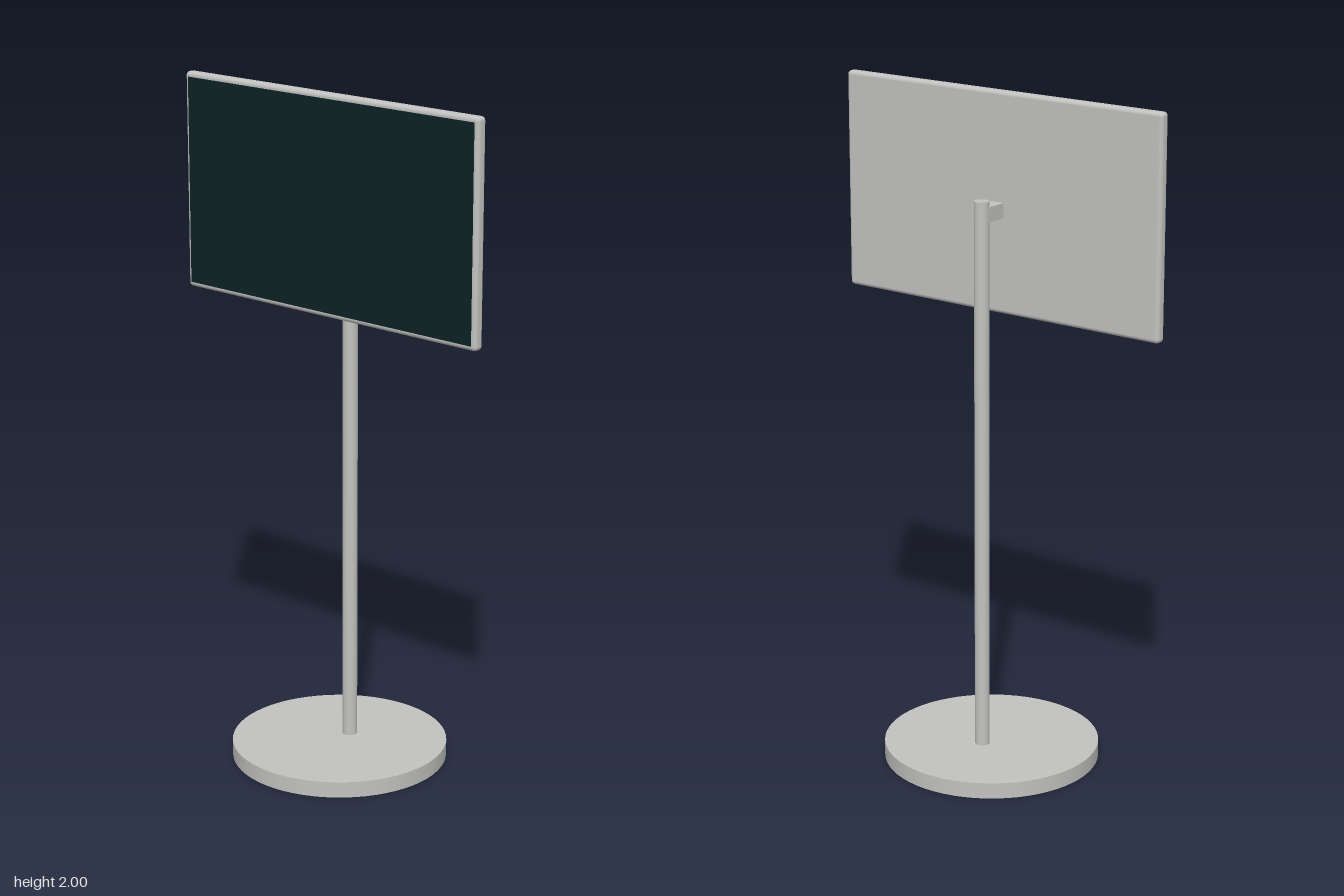
import * as THREE from 'three';
import { RoundedBoxGeometry } from 'three/addons/geometries/RoundedBoxGeometry.js';

export function createModel() {
  const model = new THREE.Group();
  model.name = 'displayOnStand';

  const metal = new THREE.MeshStandardMaterial({ color: 0xc2c2c0 });
  metal.name = 'light grey metal';
  const glass = new THREE.MeshStandardMaterial({ color: 0x0d2326 });
  glass.name = 'dark screen glass';

  const add = (name, geometry, material, x, y, z) => {
    const mesh = new THREE.Mesh(geometry, material);
    mesh.name = name;
    mesh.position.set(x, y, z);
    model.add(mesh);
    return mesh;
  };

  // Round floor plate
  add('base', new THREE.CylinderGeometry(0.32, 0.32, 0.048, 64), metal, 0, 0.024, 0);

  // Upright pole, set behind the centre
  add('pole', new THREE.CylinderGeometry(0.022, 0.022, 1.66, 32), metal, 0, 0.87, -0.046);

  // Bracket joining the pole to the back of the panel
  add('bracket', new THREE.BoxGeometry(0.044, 0.044, 0.08), metal, 0, 1.662, -0.006);

  // Panel housing with softly rounded edges
  add('panel', new RoundedBoxGeometry(1.1, 0.64, 0.034, 4, 0.012), metal, 0, 1.68, 0.044);

  // Thin screen on the front of the panel
  add('screen', new THREE.BoxGeometry(1.07, 0.61, 0.004), glass, 0, 1.68, 0.062);

  return model;
}
